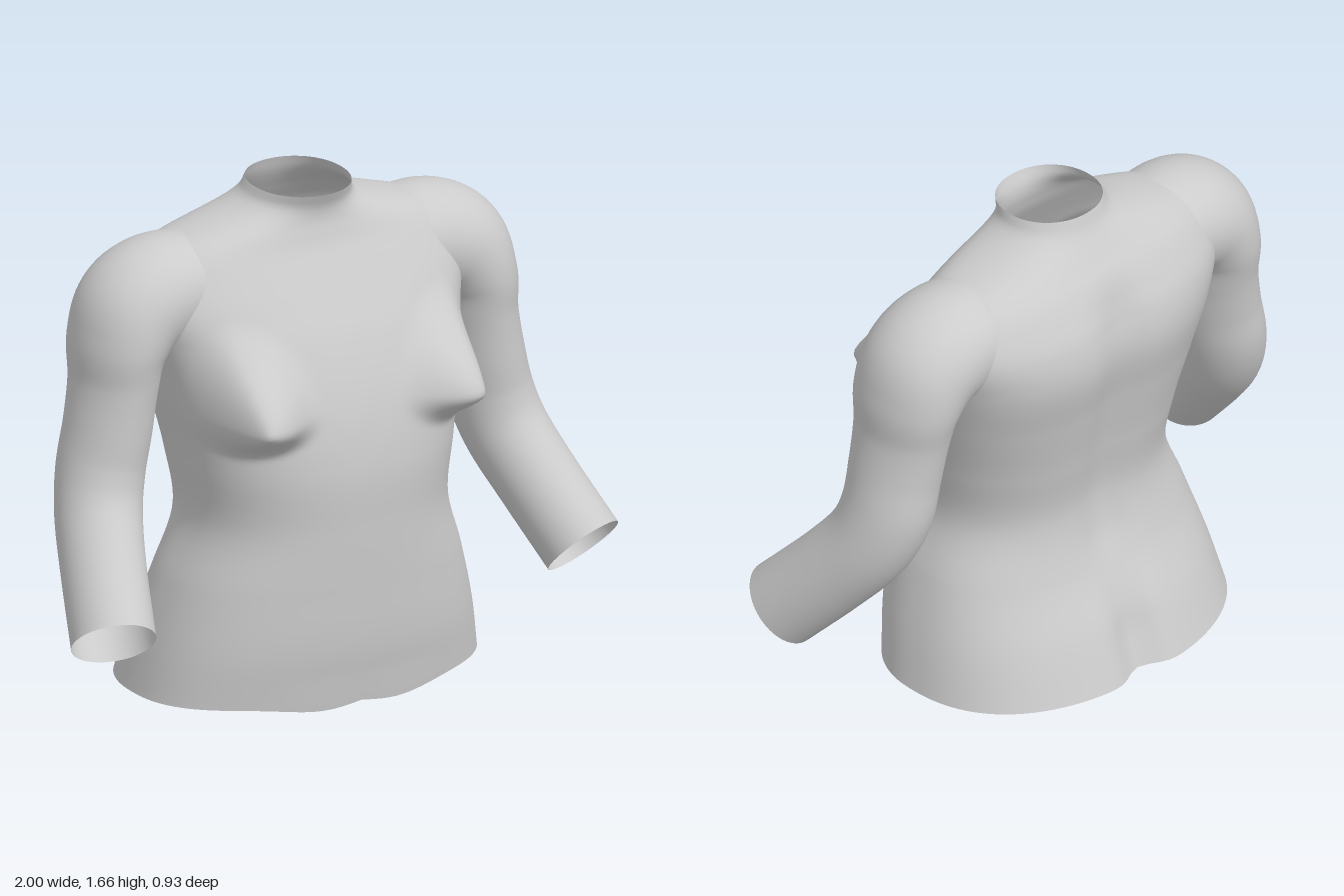
import * as THREE from 'three';

const material = new THREE.MeshStandardMaterial({ color: 0xcccccc, side: THREE.DoubleSide });

// Smooth interpolation through rows of [key, ...values]
function sampler(rows) {
  const keys = rows.map(r => r[0]);
  const values = rows.flatMap(r => r.slice(1));
  const curve = new THREE.CubicInterpolant(keys, values, rows[0].length - 1);
  return t => Array.from(curve.evaluate(t));
}

// Skin a stack of closed rings; point(v, angle) returns a Vector3
function loft(name, rings, around, point) {
  const pos = [], index = [];
  for (let i = 0; i <= rings; i++) {
    for (let j = 0; j < around; j++) {
      pos.push(...point(i / rings, (j / around) * Math.PI * 2).toArray());
      if (i === rings) continue;
      const a = i * around + j, b = i * around + (j + 1) % around;
      index.push(a, a + around, b, b, a + around, b + around);
    }
  }
  const geometry = new THREE.BufferGeometry();
  geometry.setAttribute('position', new THREE.Float32BufferAttribute(pos, 3));
  geometry.setIndex(index);
  geometry.computeVertexNormals();
  const mesh = new THREE.Mesh(geometry, material);
  mesh.name = name;
  return mesh;
}

const bell = (d, w) => Math.exp(-(d * d) / (w * w));
const spow = (v, p) => Math.sign(v) * Math.pow(Math.abs(v), p);
const step = THREE.MathUtils.smoothstep;

// Torso sections: height, half width, front z, back z, middle z, squareness
const torsoAt = sampler([
  [0.03, 0.60, 0.36, -0.475, -0.02, 2.3],
  [0.20, 0.565, 0.388, -0.41, 0.0, 2.3],
  [0.40, 0.51, 0.40, -0.32, 0.02, 2.3],
  [0.60, 0.445, 0.408, -0.28, 0.04, 2.3],
  [0.80, 0.465, 0.41, -0.305, 0.03, 2.4],
  [1.00, 0.505, 0.375, -0.345, 0.0, 2.5],
  [1.20, 0.55, 0.30, -0.385, -0.04, 2.5],
  [1.32, 0.585, 0.235, -0.37, -0.06, 2.4],
  [1.40, 0.575, 0.19, -0.335, -0.07, 2.3],
  [1.47, 0.53, 0.152, -0.295, -0.07, 2.2],
  [1.51, 0.455, 0.138, -0.266, -0.07, 2.1],
  [1.54, 0.35, 0.13, -0.245, -0.065, 2.1],
  [1.57, 0.25, 0.128, -0.222, -0.055, 2.1],
  [1.60, 0.19, 0.132, -0.203, -0.04, 2.1],
  [1.645, 0.165, 0.15, -0.187, -0.02, 2.1],
]);

// Conical bust: gentle slope above and inward, steep below and outward
function bust(x, y) {
  const dx = Math.abs(x) - 0.39, dy = y - 1.0;
  const d = Math.hypot(dx / (dx > 0 ? 0.13 : 0.25), dy / (dy > 0 ? 0.30 : 0.145));
  if (d >= 1) return 0;
  return 0.6 * (0.5 + 0.5 * Math.cos(Math.PI * d)) + 0.4 * Math.pow(1 - d, 1.5);
}

function torsoPoint(v, a) {
  let y = 0.03 + v * 1.615;
  const [w, front, back, mid, n] = torsoAt(y);
  const c = Math.cos(a), s = Math.sin(a);
  let x = w * spow(c, 2 / n);
  let z = mid + (s > 0 ? front - mid : mid - back) * spow(s, 2 / n);
  if (s > 0) {
    const b = bust(x, y);
    z += 0.175 * b;
    x += Math.sign(x) * 0.012 * b;
    y -= 0.015 * b;
    // dipping front hem
    const dip = 0.03 * bell(Math.abs(x) - 0.13, 0.17) * step(s, 0.5, 0.9);
    y -= dip * (1 - step(v, 0, 0.06));
  } else {
    // spine groove and the cleft at the hem
    const fade = step(-s, 0.5, 0.9);
    z += 0.037 * bell(x, 0.1) * fade * (1 - step(y, 1.3, 1.5)) * step(y, 0.2, 0.5);
    z += 0.05 * bell(x, 0.075) * fade * (1 - step(y, 0.12, 0.42));
  }
  // neck opening is higher at the back
  y -= 0.06 * z * step(y, 1.52, 1.64);
  return new THREE.Vector3(x, y, z);
}

// Arm path: key, centre x, y, z, radius in the side plane, radius front to back
const armAt = sampler([
  [0, 0.36, 1.35, -0.07, 0.17, 0.19],
  [1, 0.50, 1.345, -0.065, 0.183, 0.20],
  [2, 0.595, 1.30, -0.06, 0.175, 0.20],
  [3, 0.65, 1.20, -0.055, 0.145, 0.195],
  [4, 0.667, 1.08, -0.05, 0.13, 0.175],
  [5, 0.69, 0.94, -0.045, 0.132, 0.163],
  [6, 0.72, 0.80, -0.04, 0.135, 0.157],
  [7, 0.755, 0.67, 0.005, 0.135, 0.148],
  [8, 0.805, 0.525, 0.115, 0.132, 0.143],
  [9, 0.87, 0.34, 0.28, 0.132, 0.142],
]);

function armPoint(side, v, angle) {
  const t = v * 9, a = angle * side;
  const [x, y, z, rs, rd] = armAt(t);
  const p0 = armAt(Math.max(t - 0.1, 0)), p1 = armAt(Math.min(t + 0.1, 9));
  const along = new THREE.Vector3(p1[0] - p0[0], p1[1] - p0[1], p1[2] - p0[2]).normalize();
  const depth = new THREE.Vector3(0, 0, 1).addScaledVector(along, -along.z).normalize();
  const out = new THREE.Vector3().crossVectors(along, depth);
  const p = new THREE.Vector3(x, y, z)
    .addScaledVector(out, rs * Math.cos(a))
    .addScaledVector(depth, rd * Math.sin(a));
  p.x *= side;
  return p;
}

export function createModel() {
  const group = new THREE.Group();
  group.name = 'bustFigure';
  group.add(loft('torso', 130, 144, torsoPoint));
  for (const side of [1, -1]) {
    group.add(loft(side > 0 ? 'leftArm' : 'rightArm', 72, 48, (v, a) => armPoint(side, v, a)));
  }
  return group;
}
